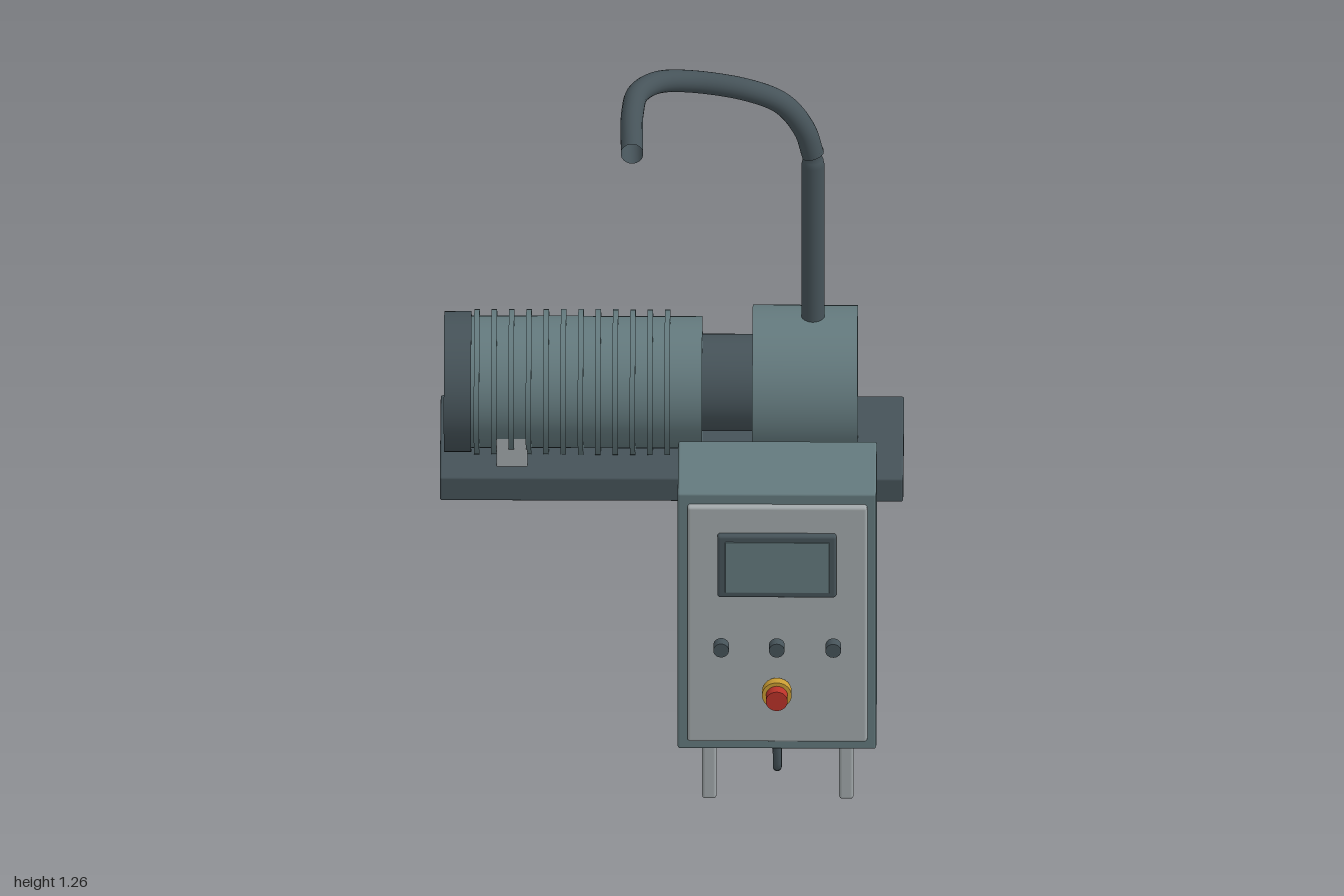
import * as THREE from 'three';
import { RoundedBoxGeometry } from 'three/addons/geometries/RoundedBoxGeometry.js';

const mat = (name, color, side = THREE.FrontSide) => {
  const m = new THREE.MeshStandardMaterial({ color, side });
  m.name = name;
  return m;
};

export function createModel() {
  const root = new THREE.Group();
  root.name = 'pumpStation';
  const teal = mat('grey teal', 0x647a7e);
  const dark = mat('dark slate', 0x465359, THREE.DoubleSide);
  const light = mat('light grey', 0xa3aaac);
  const red = mat('signal red', 0xbb3329);
  const yellow = mat('warning yellow', 0xc99c33);

  const add = (parent, name, geometry, material) => {
    const mesh = new THREE.Mesh(geometry, material);
    mesh.name = name;
    parent.add(mesh);
    return mesh;
  };
  // Box given by its lowest and highest corner, with softened edges
  const box = (parent, name, material, a, b, r = 0.006) => {
    const s = a.map((v, i) => b[i] - v);
    const mesh = add(parent, name, new RoundedBoxGeometry(...s, 2, r), material);
    mesh.position.set(...a.map((v, i) => (v + b[i]) / 2));
  };
  // Cylinder lying along x on the motor axis
  const AY = 0.305, AZ = -0.785;
  const drum = (parent, name, material, x0, x1, r) => {
    const g = new THREE.CylinderGeometry(r, r, x1 - x0, 48).rotateZ(Math.PI / 2);
    add(parent, name, g, material).position.set((x0 + x1) / 2, AY, AZ);
  };
  // Cylinder pointing forwards from the cabinet door
  const dial = (parent, name, material, x, y, z0, z1, r) => {
    const g = new THREE.CylinderGeometry(r, r, z1 - z0, 32).rotateX(Math.PI / 2);
    add(parent, name, g, material).position.set(x, y, (z0 + z1) / 2);
  };

  // Motor, coupling and pump on a base plate
  const unit = new THREE.Group();
  unit.name = 'pumpUnit';
  root.add(unit);
  box(unit, 'basePlate', dark, [-0.595, 0.07, -1], [0.595, 0.14, -0.58]);
  for (const [name, x] of [['motorFoot', -0.45], ['pumpFoot', 0.27]]) {
    box(unit, name, light, [x, 0.135, -0.938], [x + 0.08, 0.24, -0.637], 0.003);
  }
  drum(unit, 'motorEndCap', dark, -0.585, -0.515, 0.181);
  drum(unit, 'motorBody', teal, -0.515, 0.078, 0.17);
  for (let i = 0; i < 12; i++) {
    const x = -0.501 + i * 0.0445;
    drum(unit, 'coolingFin', teal, x - 0.007, x + 0.007, 0.187);
  }
  drum(unit, 'coupling', dark, 0.078, 0.207, 0.125);
  drum(unit, 'pumpHousing', teal, 0.207, 0.477, 0.2);

  // Outlet pipe with a narrow neck, then the bent hose
  const pipeProfile = [[0.03, 0.48], [0.03, 0.955], [0.027, 0.97], [0.021, 0.985], [0.027, 1.0]];
  const pipe = new THREE.LatheGeometry(pipeProfile.map(p => new THREE.Vector2(...p)), 24);
  add(unit, 'outletPipe', pipe, dark).position.set(0.362, 0, AZ);
  const hosePath = new THREE.CatmullRomCurve3([
    [0.362, 0.985, AZ], [0.34, 1.06, AZ], [0.285, 1.135, AZ], [0.2, 1.175, AZ],
    [0.05, 1.202, AZ], [-0.035, 1.22, -0.75], [-0.085, 1.229, -0.68],
    [-0.1, 1.23, -0.58], [-0.1, 1.23, -0.37],
  ].map(p => new THREE.Vector3(...p)));
  add(unit, 'outletHose', new THREE.TubeGeometry(hosePath, 64, 0.029, 20), dark);

  // Control cabinet on two legs
  const cabinet = new THREE.Group();
  cabinet.name = 'controlCabinet';
  root.add(cabinet);
  box(cabinet, 'cabinetBody', teal, [0.025, 0.215, 0.645], [0.535, 0.975, 0.915]);
  box(cabinet, 'door', light, [0.05, 0.245, 0.905], [0.512, 0.945, 0.932], 0.008);
  box(cabinet, 'screenFrame', dark, [0.127, 0.685, 0.928], [0.433, 0.87, 0.95], 0.008);
  box(cabinet, 'screen', teal, [0.147, 0.702, 0.946], [0.415, 0.852, 0.953], 0.002);
  for (const x of [0.087, 0.439]) {
    box(cabinet, 'cabinetLeg', light, [x, 0, 0.768], [x + 0.037, 0.22, 0.805], 0.008);
  }
  for (const x of [0.137, 0.28, 0.425]) {
    dial(cabinet, 'knobShaft', dark, x, 0.545, 0.93, 0.952, 0.006);
    dial(cabinet, 'knob', dark, x, 0.545, 0.948, 0.978, 0.02);
  }
  dial(cabinet, 'stopButtonShaft', yellow, 0.28, 0.407, 0.93, 0.95, 0.015);
  dial(cabinet, 'stopButtonCollar', yellow, 0.28, 0.407, 0.945, 0.97, 0.038);
  dial(cabinet, 'stopButton', red, 0.28, 0.407, 0.97, 1, 0.028);

  // Cable from the cabinet floor to the underside of the base plate
  const cablePath = new THREE.CatmullRomCurve3([
    [0.28, 0.22, 0.787], [0.28, 0.12, 0.787], [0.28, 0.085, 0.78], [0.28, 0.069, 0.75],
    [0.28, 0.067, 0.7], [0.28, 0.067, 0], [0.28, 0.067, -0.7], [0.28, 0.069, -0.76], [0.28, 0.085, -0.79],
  ].map(p => new THREE.Vector3(...p)));
  add(root, 'cable', new THREE.TubeGeometry(cablePath, 100, 0.0115, 12), dark);

  return root;
}
